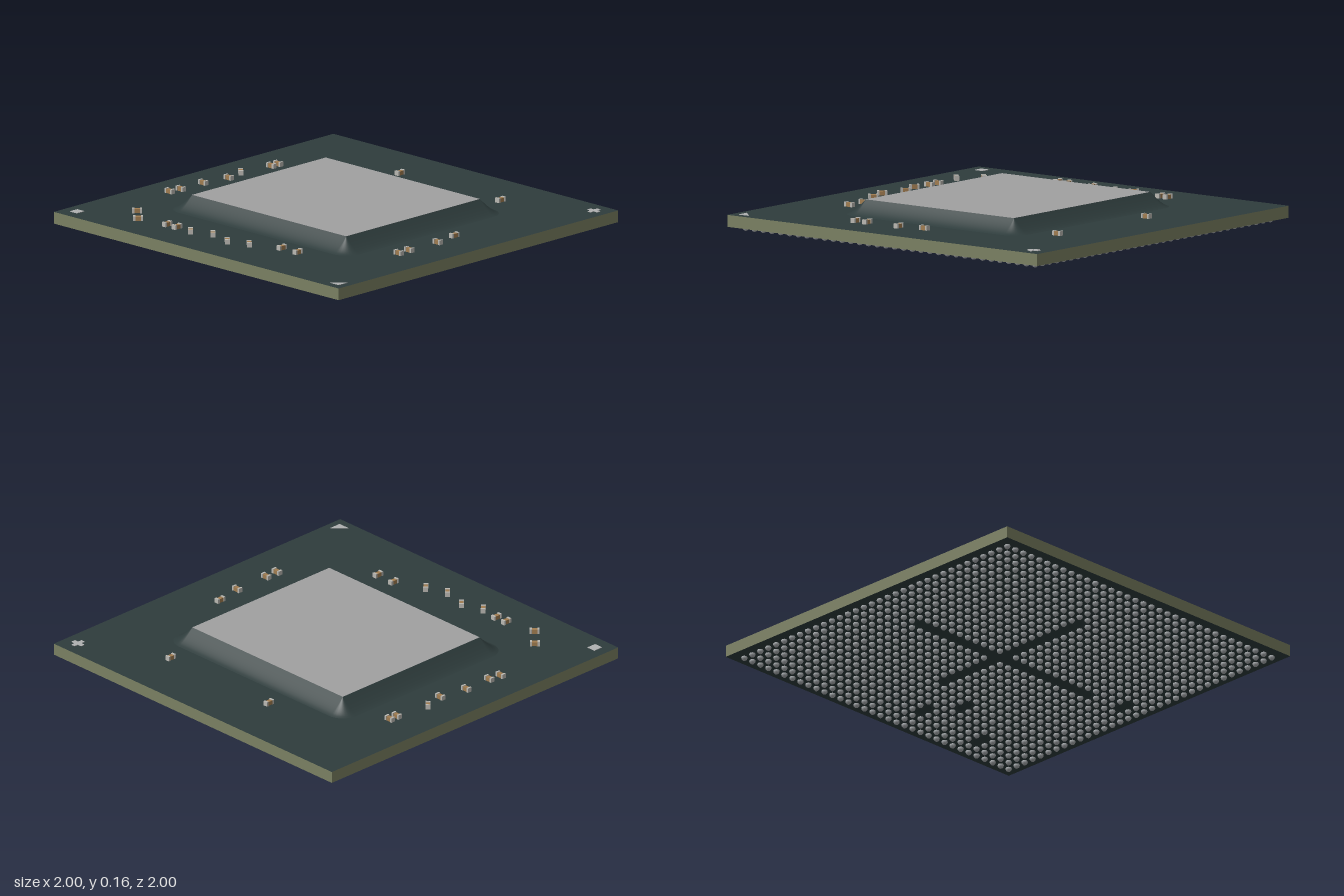
import * as THREE from 'three';
import { mergeGeometries } from 'three/addons/utils/BufferGeometryUtils.js';

const BOTTOM = 0.022, TOP = 0.083, DIE_TOP = 0.157;
const DIE_X = 0.478, DIE_Z = 0.541;

function material(name, color) {
  const m = new THREE.MeshStandardMaterial({ color });
  m.name = name;
  return m;
}

function add(parent, name, geometry, mat, x = 0, y = 0, z = 0) {
  const mesh = new THREE.Mesh(geometry, mat);
  mesh.name = name;
  mesh.position.set(x, y, z);
  parent.add(mesh);
  return mesh;
}

// Concave fillet around the die: rectangle offset outwards with round corners
function filletGeometry(spread, rows, cornerSteps) {
  const pos = [], index = [], ring = 4 * (cornerSteps + 1);
  for (let j = 0; j <= rows; j++) {
    const t = j / rows, r = spread * t;
    const y = TOP + (DIE_TOP - TOP) * Math.pow(1 - t, 1.4);
    for (let c = 0; c < 4; c++) {
      const sx = c === 0 || c === 3 ? 1 : -1, sz = c < 2 ? 1 : -1;
      for (let k = 0; k <= cornerSteps; k++) {
        const a = (c + k / cornerSteps) * Math.PI / 2;
        pos.push(sx * DIE_X + r * Math.cos(a), y, sz * DIE_Z + r * Math.sin(a));
      }
    }
  }
  for (let j = 0; j < rows; j++) {
    for (let i = 0; i < ring; i++) {
      const n = (i + 1) % ring;
      const a = j * ring + i, b = j * ring + n, c = a + ring, d = b + ring;
      index.push(a, b, c, b, d, c);
    }
  }
  const g = new THREE.BufferGeometry();
  g.setAttribute('position', new THREE.Float32BufferAttribute(pos, 3));
  g.setIndex(index);
  g.computeVertexNormals();
  return g;
}

// Grid of solder balls with a cross and a few small slots left empty
function ballGrid() {
  const count = 34, pitch = 1.868 / (count - 1), balls = [];
  const slots = [[0.72, 0.13], [0.77, 0.61], [0.02, 0.81], [0.55, 0.23]];
  const ball = new THREE.SphereGeometry(0.016, 8, 6);
  for (let i = 0; i < count; i++) {
    for (let k = 0; k < count; k++) {
      const x = (i - (count - 1) / 2) * pitch, z = (k - (count - 1) / 2) * pitch;
      const cross = (i === 17 && Math.abs(z) < 0.63) || (k === 16 && Math.abs(x + 0.05) < 0.5);
      const slot = slots.some(([sx, sz]) => Math.abs(x - sx) < 0.06 && Math.abs(z - sz) < 0.03);
      if (!cross && !slot) balls.push(ball.clone().translate(x, 0.016, z));
    }
  }
  return mergeGeometries(balls);
}

export function createModel() {
  const model = new THREE.Group();
  model.name = 'chipPackage';
  const mask = material('dark green solder mask', 0x2e3c3c);
  const core = material('olive board core', 0x7a8062);
  const silicon = material('grey silicon', 0xa0a0a1);
  const marking = material('light grey marking', 0xb0b1b1);
  const solder = material('solder', 0xa9adb0);
  const ceramic = material('tan ceramic', 0xa07c50);
  const terminal = material('metal terminal', 0xbab8b2);

  // Board with dark faces and olive cut edges
  add(model, 'board', new THREE.BoxGeometry(2, TOP - BOTTOM, 2),
    [core, core, mask, mask, core, core], 0, (TOP + BOTTOM) / 2, 0);

  // Die and its fillet
  add(model, 'dieFillet', filletGeometry(0.095, 8, 8), mask);
  add(model, 'die', new THREE.BoxGeometry(DIE_X * 2, 0.004, DIE_Z * 2), silicon, 0, DIE_TOP - 0.0015, 0);

  add(model, 'solderBalls', ballGrid(), solder);

  // Corner marks
  const markY = TOP + 0.001;
  add(model, 'squareMark', new THREE.BoxGeometry(0.053, 0.003, 0.05), marking, -0.914, markY, -0.92);
  const triangle = new THREE.Shape([[-0.957, -0.896], [-0.957, -0.96], [-0.893, -0.96]]
    .map(([x, y]) => new THREE.Vector2(x, y)));
  const triGeo = new THREE.ExtrudeGeometry(triangle, { depth: 0.003, bevelEnabled: false });
  add(model, 'triangleMark', triGeo.rotateX(-Math.PI / 2), marking, 0, TOP - 0.0005, 0);
  const w = 0.012, l = 0.035;
  const plus = new THREE.Shape([[-w, -l], [w, -l], [w, -w], [l, -w], [l, w], [w, w],
    [w, l], [-w, l], [-w, w], [-l, w], [-l, -w], [-w, -w]].map(([x, y]) => new THREE.Vector2(x, y)));
  const plusGeo = new THREE.ExtrudeGeometry(plus, { depth: 0.003, bevelEnabled: false });
  add(model, 'plusMark', plusGeo.rotateX(-Math.PI / 2), marking, 0.911, TOP - 0.0005, 0.917);

  // Capacitors: x, z, turn in degrees
  const capacitors = [
    [-0.348, -0.826, 90], [-0.278, -0.816, 90], [-0.118, -0.816, 90], [0.037, -0.789, 90],
    [0.342, -0.789, 90], [0.39, -0.789, 90], [-0.348, 0.783, 90], [-0.273, 0.783, 90], [-0.07, 0.783, 90],
    [0.15, -0.816, 45], [-0.717, -0.692, -45], [-0.813, -0.591, -45],
    [-0.797, -0.238, 45], [-0.759, -0.12, 45], [-0.797, 0.019, 45], [-0.759, 0.136, 45],
    [-0.786, -0.414, 0], [-0.786, -0.345, 0], [-0.69, 0.297, 0], [-0.69, 0.409, 0],
    [0.075, 0.757, 0], [0.7, -0.238, 0], [0.7, 0.468, 0],
  ];
  const bodyGeo = new THREE.BoxGeometry(0.03, 0.021, 0.021);
  const endGeo = new THREE.BoxGeometry(0.011, 0.024, 0.025);
  for (const [x, z, turn] of capacitors) {
    const cap = new THREE.Group();
    cap.name = 'capacitor';
    cap.position.set(x, TOP, z);
    cap.rotation.y = THREE.MathUtils.degToRad(turn);
    add(cap, 'capacitorBody', bodyGeo, ceramic, 0, 0.0105, 0);
    for (const s of [-1, 1]) add(cap, 'capacitorEnd', endGeo, terminal, s * 0.0195, 0.012, 0);
    model.add(cap);
  }
  return model;
}
